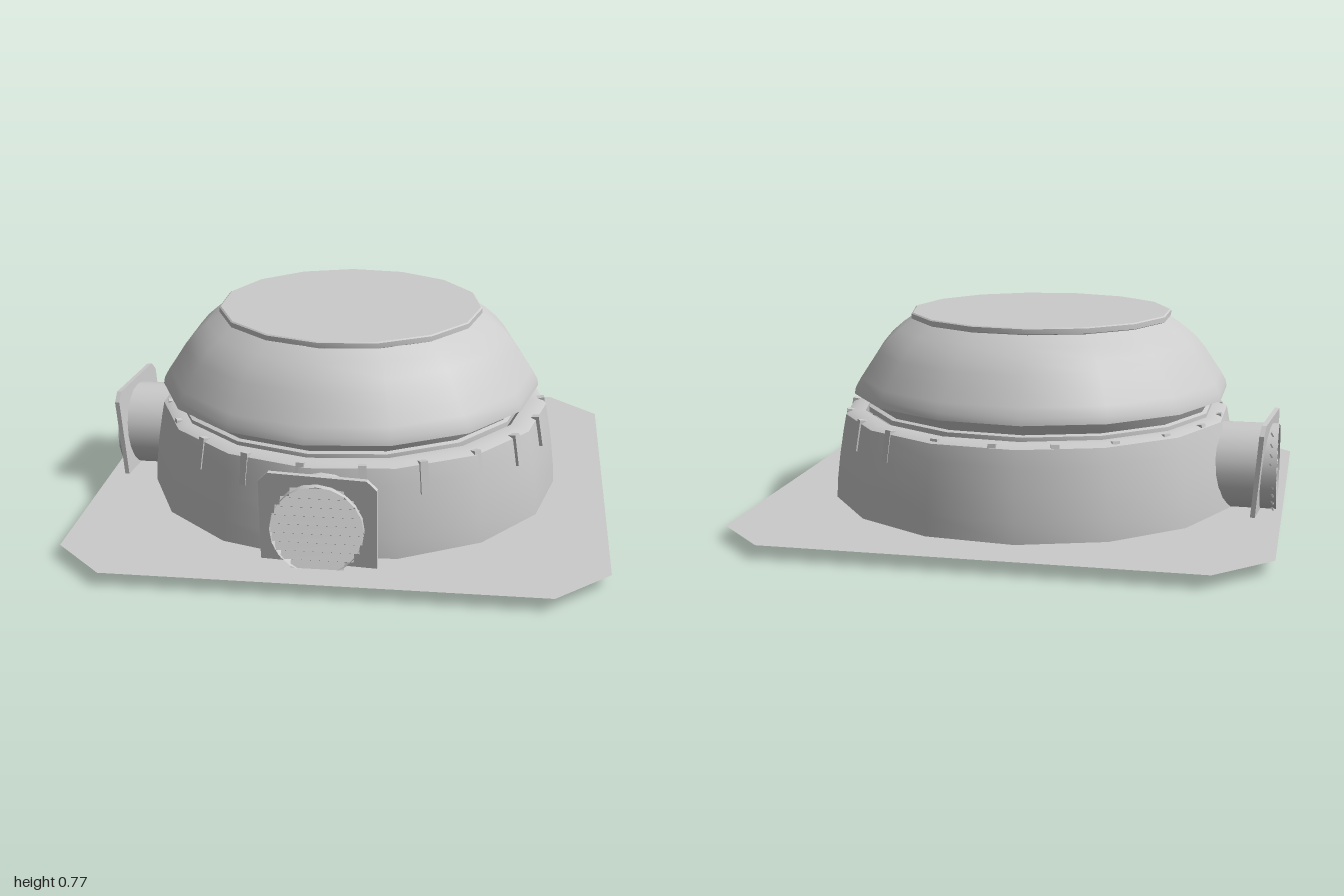
import * as THREE from 'three';
import { toCreasedNormals } from 'three/addons/utils/BufferGeometryUtils.js';

const SIDES = 15;
const grey = new THREE.MeshStandardMaterial({ color: 0xcccccc });
const greyThin = new THREE.MeshStandardMaterial({ color: 0xcccccc, side: THREE.DoubleSide });

function add(parent, name, geometry, material = grey) {
  const mesh = new THREE.Mesh(geometry, material);
  mesh.name = name;
  parent.add(mesh);
  return mesh;
}

// Fifteen-sided turned body with one corner on +x
function turned(profile) {
  const points = profile.map(([r, y]) => new THREE.Vector2(r, y));
  return toCreasedNormals(new THREE.LatheGeometry(points, SIDES, Math.PI / 2), 0.55);
}

// Rectangle with cut corners
function cutRectangle(w, h, c) {
  return new THREE.Shape([
    [w - c, -h], [w, c - h], [w, h - c], [w - c, h],
    [c - w, h], [-w, h - c], [-w, c - h], [c - w, -h],
  ].map(([x, y]) => new THREE.Vector2(x, y)));
}

// Short round duct with a tilted flange and louvres, facing +z
function makeVent(name, yaw) {
  const vent = new THREE.Group();
  vent.name = name;
  const r = 0.168;

  const duct = add(vent, 'duct', new THREE.CylinderGeometry(r, r, 0.25, 20, 1, true), greyThin);
  duct.rotation.x = Math.PI / 2;
  duct.position.z = -0.075;

  const flangeGeometry = new THREE.ExtrudeGeometry(cutRectangle(0.213, 0.197, 0.035),
    { depth: 0.018, bevelEnabled: false });
  const flange = add(vent, 'flange', flangeGeometry.translate(0, 0, -0.009));
  flange.rotation.set(0.08, yaw, 0);

  // Louvre blades cut to the width of the duct
  for (let i = -4; i <= 4; i++) {
    const y = i * 0.034;
    const width = 2 * Math.sqrt(r * r - y * y) - 0.006;
    const blade = add(vent, 'louvre', new THREE.BoxGeometry(width, 0.036, 0.006));
    blade.position.set(0, y, 0.032);
    blade.rotation.x = -0.5;
  }
  return vent;
}

export function createModel() {
  const model = new THREE.Group();
  model.name = 'ventedDome';

  // Ground sheet
  const sheet = add(model, 'basePlate', new THREE.ShapeGeometry(cutRectangle(1, 1, 0.2)), greyThin);
  sheet.rotation.x = -Math.PI / 2;
  sheet.position.y = 0.05;

  // Lower drum with rounded shoulder
  const drum = add(model, 'drum', turned([
    [0.81, 0.05], [0.805, 0.13], [0.793, 0.23], [0.778, 0.32],
    [0.766, 0.383], [0.735, 0.395], [0.69, 0.395],
  ]), greyThin);
  drum.position.set(-0.007, 0, -0.006);

  // Recessed neck, overhanging dome and top cap
  const neck = add(model, 'neck', turned([
    [0.68, 0.385], [0.692, 0.39], [0.692, 0.41], [0.675, 0.415], [0.702, 0.465],
  ]), greyThin);
  const dome = add(model, 'dome', turned([
    [0.69, 0.464], [0.747, 0.464], [0.742, 0.49], [0.722, 0.525], [0.688, 0.575],
    [0.655, 0.625], [0.617, 0.67], [0.568, 0.712], [0.512, 0.75],
  ]), greyThin);
  const cap = add(model, 'topCap', turned([
    [0.505, 0.75], [0.518, 0.753], [0.518, 0.772], [0.512, 0.776], [0, 0.776],
  ]));
  for (const part of [neck, dome, cap]) part.position.x = -0.022;

  // Clips around the shoulder, just breaking the drum surface
  const clipCount = 21;
  for (let i = 0; i < clipCount; i++) {
    const pivot = new THREE.Group();
    pivot.name = 'shoulderClip';
    pivot.rotation.y = -(THREE.MathUtils.degToRad(13) + (i / clipCount) * Math.PI * 2);
    const clip = add(pivot, 'clip', new THREE.BoxGeometry(0.03, 0.12, 0.03));
    clip.position.set(0.748, 0.336, 0);
    clip.rotation.z = 0.17;
    model.add(pivot);
  }

  // Vents on the front and the -x side
  const frontVent = makeVent('frontVent', -0.085);
  frontVent.position.set(-0.035, 0.2, 0.836);
  const sideVent = makeVent('sideVent', -0.095);
  sideVent.position.set(-0.926, 0.2, -0.085);
  sideVent.rotation.y = -Math.PI / 2;
  model.add(frontVent, sideVent);

  // Three small feet under the middle of the sheet
  for (let i = 0; i < 3; i++) {
    const a = Math.PI / 4 + (i * Math.PI * 2) / 3;
    const foot = add(model, 'foot', new THREE.BoxGeometry(0.02, 0.02, 0.07));
    foot.position.set(0.16 * Math.cos(a), 0.052, 0.16 * Math.sin(a));
    foot.rotation.y = -a;
  }
  return model;
}
